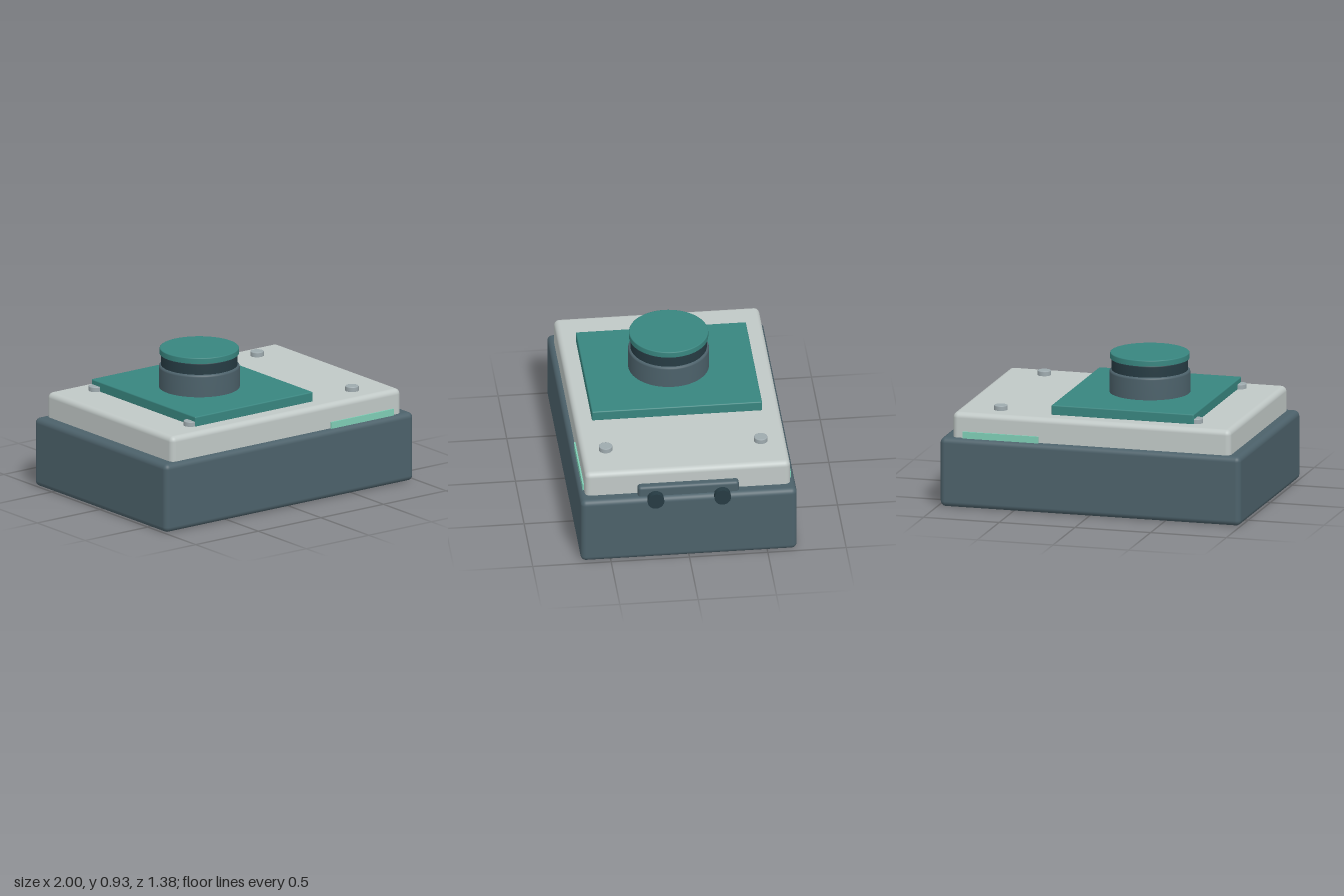
import * as THREE from 'three';
import { RoundedBoxGeometry } from 'three/addons/geometries/RoundedBoxGeometry.js';

const paint = (color) => new THREE.MeshStandardMaterial({ color });

export function createModel() {
  const model = new THREE.Group();
  model.name = 'pushButtonBox';
  const slate = paint(0x4c616a), dark = paint(0x263b43), teal = paint(0x38857f);
  const pale = paint(0xc0c8c6), mint = paint(0x7fcdb5), steel = paint(0x9eaaae);

  const add = (name, geometry, material, x, y, z) => {
    const mesh = new THREE.Mesh(geometry, material);
    mesh.name = name;
    mesh.position.set(x, y, z);
    model.add(mesh);
    return mesh;
  };
  // Rounded box given by its limits; symmetric in z
  const block = (name, material, x0, x1, y0, y1, halfZ, r) =>
    add(name, new RoundedBoxGeometry(x1 - x0, y1 - y0, halfZ * 2, 4, r),
      material, (x0 + x1) / 2, (y0 + y1) / 2, 0);
  // Upright disc with softened rims
  const disc = (name, material, radius, y0, y1, bevel, x, z, sides = 64) => {
    const h = y1 - y0;
    const rim = [0, 1, 2, 3].map((i) => {
      const a = (i / 3) * Math.PI / 2;
      return new THREE.Vector2(radius - bevel + bevel * Math.cos(a), h - bevel + bevel * Math.sin(a));
    });
    const wall = new THREE.LatheGeometry([new THREE.Vector2(radius, 0), ...rim], sides);
    const body = add(name, wall, material, x, y0, z);
    const top = new THREE.Mesh(new THREE.CircleGeometry(radius - bevel, sides), material);
    top.name = name + 'Top';
    top.rotation.x = -Math.PI / 2;
    top.position.y = h;
    const bottom = new THREE.Mesh(new THREE.CircleGeometry(radius, sides), material);
    bottom.name = name + 'Bottom';
    bottom.rotation.x = Math.PI / 2;
    body.add(top, bottom);
  };

  // Housing, lid and mounting plate
  block('base', slate, -1, 0.985, 0, 0.45, 0.69, 0.035);
  block('lid', pale, -0.925, 0.91, 0.4, 0.612, 0.655, 0.035);
  block('plate', teal, -0.652, 0.288, 0.607, 0.675, 0.543, 0.008);

  // Push button: collar, neck and cap
  disc('buttonCollar', slate, 0.257, 0.67, 0.82, 0.015, -0.205, 0);
  disc('buttonNeck', dark, 0.243, 0.815, 0.896, 0.01, -0.205, 0);
  disc('buttonCap', teal, 0.252, 0.894, 0.932, 0.006, -0.205, 0);

  // Lid screws and the pale strips on the long sides
  for (const side of [-1, 1]) {
    for (const x of [-0.656, 0.636]) {
      disc('screw', steel, 0.043, 0.6, 0.643, 0.005, x, side * 0.495, 32);
    }
    add('sideStrip', new THREE.BoxGeometry(0.5, 0.05, 0.02), mint, 0.59, 0.467, side * 0.655);
  }

  // Latch bar with two round pins
  block('latchBar', slate, 0.88, 0.956, 0.42, 0.517, 0.322, 0.02);
  for (const side of [-1, 1]) {
    const pin = add('latchPin', new THREE.CylinderGeometry(0.053, 0.053, 0.09, 32), dark, 0.954, 0.433, side * 0.213);
    pin.rotation.z = -Math.PI / 2;
  }
  return model;
}
